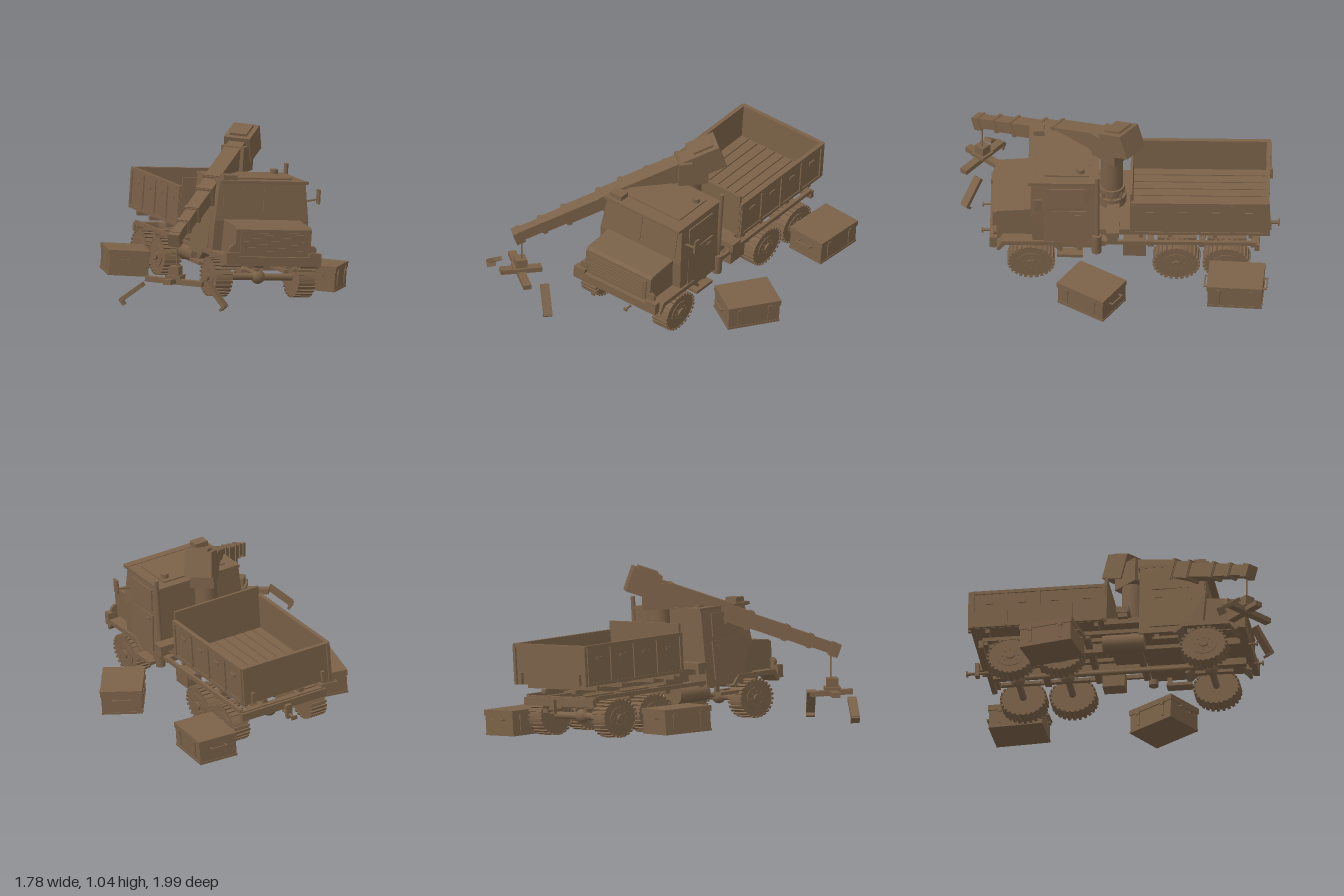
import * as THREE from 'three';

export function createModel() {
  const brown = new THREE.MeshStandardMaterial({ color: 0x7a6148 });
  brown.name = 'dull brown';

  const add = (parent, name, geo, x = 0, y = 0, z = 0) => {
    const m = new THREE.Mesh(geo, brown);
    m.name = name;
    m.position.set(x, y, z);
    parent.add(m);
    return m;
  };
  const box = (parent, name, w, h, d, x, y, z) => add(parent, name, new THREE.BoxGeometry(w, h, d), x, y, z);
  const cyl = (parent, name, r, h, x, y, z, axis = 'y', sides = 20) => {
    const g = new THREE.CylinderGeometry(r, r, h, sides);
    if (axis === 'x') g.rotateZ(Math.PI / 2);
    if (axis === 'z') g.rotateX(Math.PI / 2);
    return add(parent, name, g, x, y, z);
  };
  const group = (parent, name, x = 0, y = 0, z = 0) => {
    const g = new THREE.Group();
    g.name = name;
    g.position.set(x, y, z);
    parent.add(g);
    return g;
  };
  // box stretched between two points
  const beam = (parent, name, a, b, w, h) => {
    const A = new THREE.Vector3(...a), B = new THREE.Vector3(...b);
    const m = new THREE.Mesh(new THREE.BoxGeometry(w, h, A.distanceTo(B)), brown);
    m.name = name;
    m.position.copy(A).lerp(B, 0.5);
    m.lookAt(B);
    parent.add(m);
    return m;
  };
  // side profile of [z, y] points extruded across x
  const profile = (pts, width) => {
    const s = new THREE.Shape(pts.map(([z, y]) => new THREE.Vector2(-z, y)));
    const g = new THREE.ExtrudeGeometry(s, { depth: width, bevelEnabled: false });
    return g.translate(0, 0, -width / 2).rotateY(Math.PI / 2);
  };

  const root = new THREE.Group();
  root.name = 'craneTruckAndCrates';

  // everything on the ground leans slightly sideways
  const tilted = group(root, 'tiltedGround', 0, 0.062, 0);
  tilted.rotation.z = -0.071;
  const truck = group(tilted, 'truck', 0.1, 0, 0);

  // chassis
  for (const s of [-1, 1]) {
    box(truck, 'chassisRail', 0.04, 0.06, 1.6, s * 0.13, 0.225, -0.06);
    box(truck, 'bedSubframe', 0.035, 0.025, 0.78, s * 0.13, 0.285, -0.48);
    box(truck, 'sideRail', 0.02, 0.025, 0.98, s * 0.29, 0.25, -0.36);
  }
  for (const z of [-0.84, -0.52, -0.2, 0.1, 0.45]) box(truck, 'crossMember', 0.58, 0.035, 0.04, 0, 0.235, z);
  for (const z of [-0.14, -0.32, -0.6, -0.82]) box(truck, 'bedBearer', 0.6, 0.025, 0.025, 0, 0.31, z);
  box(truck, 'rearBumper', 0.6, 0.05, 0.03, 0, 0.22, -0.86);
  box(truck, 'towPlate', 0.04, 0.09, 0.025, 0, 0.2, -0.925);
  cyl(truck, 'towBar', 0.01, 0.13, 0, 0.18, -0.92, 'z', 8);
  box(truck, 'towPinHead', 0.04, 0.025, 0.01, 0, 0.18, -0.99);
  box(truck, 'craneDeck', 0.58, 0.04, 0.24, 0, 0.33, 0.03);
  box(truck, 'deckSupport', 0.3, 0.08, 0.2, 0, 0.28, 0.03);
  box(truck, 'outriggerBeam', 0.745, 0.04, 0.08, 0, 0.365, 0.035);
  for (const s of [-1, 1]) box(truck, 'outriggerFoot', 0.03, 0.07, 0.06, s * 0.35, 0.35, 0.035);
  cyl(truck, 'fuelTank', 0.055, 0.26, -0.25, 0.19, 0.03, 'z');
  box(truck, 'batteryBox', 0.1, 0.1, 0.14, 0.24, 0.19, -0.1);

  // axles and wheels
  const wheel = (x, z) => {
    const w = group(truck, 'wheel', x, 0.112, z);
    w.scale.y = 0.83;
    const side = Math.sign(x);
    cyl(w, 'tyre', 0.135, 0.1, 0, 0, 0, 'x', 28);
    cyl(w, 'rim', 0.085, 0.006, side * 0.052, 0, 0, 'x', 24);
    cyl(w, 'hub', 0.03, 0.024, side * 0.056, 0, 0, 'x', 14);
    for (let i = 0; i < 26; i++) {
      const a = (i / 26) * Math.PI * 2;
      const t = box(w, 'tread', 0.112, 0.014, 0.018, 0, Math.cos(a) * 0.14, Math.sin(a) * 0.14);
      t.rotation.x = a;
    }
    for (let i = 0; i < 8; i++) {
      const a = (i / 8) * Math.PI * 2;
      cyl(w, 'wheelBolt', 0.006, 0.008, side * 0.056, Math.cos(a) * 0.05, Math.sin(a) * 0.05, 'x', 6);
    }
  };
  for (const z of [0.54, -0.36, -0.67]) {
    wheel(-0.275, z);
    wheel(0.275, z);
    cyl(truck, 'axle', 0.022, 0.5, 0, 0.115, z, 'x', 12);
    add(truck, 'differential', new THREE.SphereGeometry(0.045, 14, 10), 0, 0.115, z);
    for (const s of [-1, 1]) box(truck, 'leafSpring', 0.03, 0.02, 0.24, s * 0.14, 0.165, z);
  }
  cyl(truck, 'driveShaft', 0.014, 1.2, 0, 0.13, -0.06, 'z', 10);

  // cab, narrowing towards the roof
  const cabGeo = profile([[0.13, 0.22], [0.36, 0.22], [0.4, 0.25], [0.53, 0.25], [0.545, 0.46], [0.52, 0.695], [0.13, 0.695]], 0.62);
  const p = cabGeo.attributes.position;
  for (let i = 0; i < p.count; i++) if (p.getY(i) > 0.5) p.setX(i, p.getX(i) * 0.92);
  cabGeo.computeVertexNormals();
  add(truck, 'cab', cabGeo);
  box(truck, 'roof', 0.575, 0.018, 0.42, 0, 0.702, 0.33);
  box(truck, 'roofPanel', 0.44, 0.012, 0.28, 0, 0.714, 0.32);
  box(truck, 'visor', 0.58, 0.02, 0.05, 0, 0.705, 0.535);
  box(truck, 'roofLamp', 0.09, 0.035, 0.07, -0.22, 0.728, 0.5);
  cyl(truck, 'roofVent', 0.025, 0.035, 0.18, 0.73, 0.235, 'y', 14);
  for (const s of [-1, 1]) {
    const doorGroup = group(truck, 'door', s * 0.299, 0.47, 0.33);
    doorGroup.rotation.z = s * 0.052;
    box(doorGroup, 'doorPanel', 0.016, 0.24, 0.26, 0, -0.09, 0);
    box(doorGroup, 'doorWindow', 0.016, 0.14, 0.24, 0, 0.13, 0);
    box(doorGroup, 'doorHandle', 0.024, 0.012, 0.04, s * 0.004, 0, -0.08);
    box(truck, 'cabStep', 0.07, 0.02, 0.16, s * 0.3, 0.17, 0.3);
    box(truck, 'stepBracket', 0.02, 0.08, 0.03, s * 0.28, 0.2, 0.24);
    const pane = box(truck, 'windscreen', 0.25, 0.17, 0.008, s * 0.135, 0.58, 0.533);
    pane.rotation.x = -0.106;
  }

  // bonnet, grille, mudguards and bumper
  add(truck, 'bonnet', profile([[0.5, 0.24], [0.77, 0.24], [0.77, 0.44], [0.75, 0.455], [0.5, 0.475]], 0.5));
  box(truck, 'grilleFrame', 0.44, 0.13, 0.012, 0, 0.355, 0.772);
  for (let i = 0; i < 6; i++) box(truck, 'grilleSlat', 0.4, 0.008, 0.014, 0, 0.305 + i * 0.02, 0.777);
  for (const s of [-1, 1]) {
    add(truck, 'mudguard', profile([[0.36, 0.2], [0.41, 0.245], [0.7, 0.245], [0.74, 0.2], [0.755, 0.21],
      [0.72, 0.275], [0.4, 0.275], [0.345, 0.21]], 0.13), s * 0.26);
    cyl(truck, 'headlamp', 0.028, 0.02, s * 0.26, 0.315, 0.765, 'z', 16);
    box(truck, 'bumperEnd', 0.08, 0.075, 0.045, s * 0.275, 0.26, 0.775);
    cyl(truck, 'towHook', 0.007, 0.06, s * 0.125, 0.2, 0.82, 'z', 8);
    box(truck, 'towHookEnd', 0.025, 0.02, 0.01, s * 0.125, 0.2, 0.845);
  }
  box(truck, 'bumper', 0.63, 0.055, 0.035, 0, 0.245, 0.78);

  // exhaust stack and mirror
  cyl(truck, 'exhaustStack', 0.014, 0.5, 0.3, 0.52, 0.13, 'y', 12);
  cyl(truck, 'silencer', 0.03, 0.13, 0.305, 0.25, 0.135, 'y', 14);
  beam(truck, 'mirrorArm', [0.29, 0.58, 0.48], [0.39, 0.6, 0.495], 0.01, 0.01);
  box(truck, 'mirror', 0.012, 0.09, 0.045, 0.385, 0.615, 0.495);

  // cargo bed with gapped planks
  const bed = group(truck, 'cargoBed', 0, 0.33, -0.5);
  for (let i = 0; i < 9; i++) box(bed, 'floorPlank', 0.06, 0.016, 0.84, -0.268 + i * 0.067, 0.02, 0);
  box(bed, 'floor', 0.6, 0.012, 0.84, 0, 0.006, 0);
  for (const s of [-1, 1]) {
    box(bed, 'sideWall', 0.016, 0.245, 0.85, s * 0.302, 0.125, 0);
    box(bed, 'sideTopRail', 0.026, 0.022, 0.85, s * 0.305, 0.244, 0);
    box(bed, 'sideBottomRail', 0.024, 0.02, 0.85, s * 0.304, 0.012, 0);
    for (let i = 0; i < 5; i++) box(bed, 'sidePost', 0.012, 0.23, 0.022, s * 0.313, 0.125, -0.41 + i * 0.205);
    for (let i = 0; i < 4; i++) box(bed, 'sideLatch', 0.01, 0.02, 0.05, s * 0.313, 0.17, -0.31 + i * 0.205);
    box(bed, 'tailPost', 0.02, 0.25, 0.02, s * 0.302, 0.125, -0.43);
    box(bed, 'tailHinge', 0.02, 0.07, 0.02, s * 0.25, 0.04, -0.438);
  }
  box(bed, 'headboard', 0.6, 0.31, 0.016, 0, 0.155, 0.42);
  box(bed, 'tailgate', 0.6, 0.245, 0.016, 0, 0.125, -0.42);
  box(bed, 'tailgateRail', 0.62, 0.022, 0.026, 0, 0.244, -0.424);

  // crane column, slewing head and telescopic boom
  cyl(truck, 'craneBase', 0.09, 0.06, 0, 0.38, 0.045);
  cyl(truck, 'craneColumn', 0.07, 0.38, 0, 0.56, 0.045);
  cyl(truck, 'columnCollar', 0.082, 0.03, 0, 0.46, 0.045);
  for (let i = 0; i < 8; i++) {
    const a = (i / 8) * Math.PI * 2;
    box(truck, 'columnRib', 0.016, 0.06, 0.016, Math.cos(a) * 0.077, 0.425, 0.045 + Math.sin(a) * 0.077);
  }
  const head = box(truck, 'slewingHead', 0.15, 0.16, 0.19, 0, 0.79, 0.05);
  head.rotation.y = -0.7;
  const boom = new THREE.Group();
  boom.name = 'boom';
  boom.position.set(0, 0.83, 0.05);
  boom.lookAt(-0.7, 0.393, 0.88);
  truck.add(boom);
  box(boom, 'counterweight', 0.17, 0.16, 0.19, 0, 0.01, -0.1);
  box(boom, 'counterweightCap', 0.11, 0.02, 0.13, 0, 0.095, -0.1);
  const sections = [[-0.02, 0.47, 0.105, 0.13], [0.45, 0.62, 0.098, 0.11], [0.6, 0.86, 0.085, 0.092],
    [0.85, 1.02, 0.072, 0.08], [1.0, 1.17, 0.06, 0.07]];
  for (const [a, b, w, h] of sections) {
    box(boom, 'boomSection', w, h, b - a, 0, 0, (a + b) / 2);
    box(boom, 'boomCollar', w + 0.012, h + 0.012, 0.025, 0, 0, b - 0.02);
  }
  box(boom, 'boomTip', 0.075, 0.085, 0.06, 0, -0.005, 1.165);

  // hanging cable, hook block, crossed lifting beams and loose arms
  const sling = group(root, 'sling');
  cyl(sling, 'cable', 0.005, 0.16, -0.55, 0.39, 0.86, 'y', 8);
  box(sling, 'hookBlock', 0.07, 0.08, 0.07, -0.56, 0.28, 0.86).rotation.y = -0.7;
  box(sling, 'hookPlate', 0.1, 0.02, 0.1, -0.56, 0.255, 0.86).rotation.y = -0.7;
  beam(sling, 'liftingBeam', [-0.71, 0.235, 0.745], [-0.42, 0.215, 0.975], 0.05, 0.032);
  beam(sling, 'liftingBeam', [-0.65, 0.235, 0.95], [-0.48, 0.22, 0.75], 0.05, 0.032);
  for (const [a, b] of [[[-0.76, 0.215, 0.83], [-0.875, 0.11, 0.745]], [[-0.36, 0.215, 0.88], [-0.27, 0.065, 0.965]]]) {
    const arm = beam(sling, 'looseArm', a, b, 0.055, 0.025);
    const len = arm.geometry.parameters.depth;
    box(arm, 'armClaw', 0.055, 0.045, 0.015, 0, -0.015, len / 2);
  }

  // crates
  const crate = (x, z, turn) => {
    const c = group(tilted, 'crate', x, 0, z);
    c.rotation.y = turn;
    box(c, 'crateBody', 0.25, 0.12, 0.335, 0, 0.062, 0);
    box(c, 'crateLid', 0.262, 0.036, 0.347, 0, 0.141, 0);
    box(c, 'crateFoot', 0.256, 0.014, 0.341, 0, 0.008, 0);
    for (const s of [-1, 1]) {
      for (const k of [-1, 1]) {
        box(c, 'crateStrap', 0.008, 0.1, 0.018, s * 0.127, 0.08, k * 0.1);
        box(c, 'crateLatch', 0.014, 0.03, 0.026, s * 0.13, 0.122, k * 0.1);
        box(c, 'handleLeg', 0.008, 0.008, 0.03, k * 0.05, 0.1, s * 0.18);
      }
      box(c, 'handleBar', 0.108, 0.01, 0.008, 0, 0.1, s * 0.193);
    }
  };
  crate(0.667, 0.161, -0.58);
  crate(0.59, -0.732, -0.06);
  crate(-0.43, -0.377, -0.21);

  return root;
}
